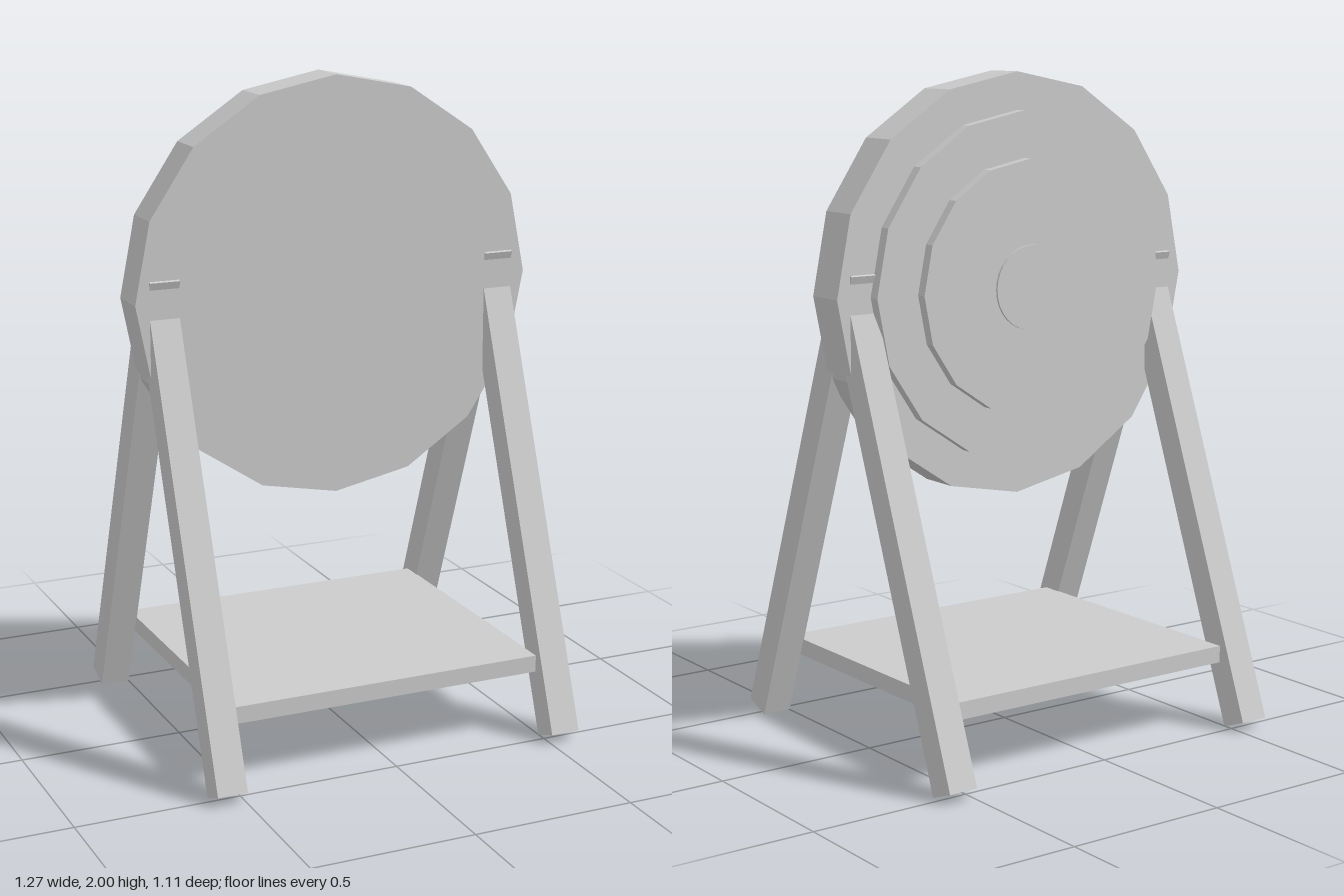
import * as THREE from 'three';

const CENTRE_Y = 1.366;
const LEG = { width: 0.092, depth: 0.09, length: 1.53, tilt: 0.363, x: 0.544, footY: 0.016, footZ: 0.512 };

export function createModel() {
  const model = new THREE.Group();
  const material = new THREE.MeshStandardMaterial({ color: 0xcccccc, flatShading: true });

  const add = (name, geometry) => {
    const mesh = new THREE.Mesh(geometry, material);
    mesh.name = name;
    model.add(mesh);
    return mesh;
  };

  // Round faceted disc, its axis along z, spanning z from back to front
  const addDisc = (name, radius, back, front, sides = 16) => {
    const geometry = new THREE.CylinderGeometry(radius, radius, front - back, sides);
    geometry.rotateX(Math.PI / 2);
    add(name, geometry).position.set(0, CENTRE_Y, (back + front) / 2);
  };

  // Main board and the stepped rings on its back
  addDisc('board', 0.634, -0.065, 0.065);
  addDisc('outerRing', 0.521, -0.1, -0.06);
  addDisc('innerRing', 0.381, -0.133, -0.095);
  addDisc('hub', 0.127, -0.14, -0.13, 32);

  // Two crossed pairs of leaning legs
  const legGeometry = new THREE.BoxGeometry(LEG.width, LEG.length, LEG.depth);
  legGeometry.translate(0, LEG.length / 2, 0);
  for (const side of [1, -1]) {
    for (const end of [1, -1]) {
      const name = (end > 0 ? 'front' : 'back') + (side > 0 ? 'Left' : 'Right') + 'Leg';
      const leg = add(name, legGeometry);
      leg.position.set(side * LEG.x, LEG.footY, end * LEG.footZ);
      leg.rotation.x = -end * LEG.tilt;
    }
  }

  // Shelf between the legs
  add('shelf', new THREE.BoxGeometry(1.0, 0.052, 0.885)).position.y = 0.224;

  return model;
}
